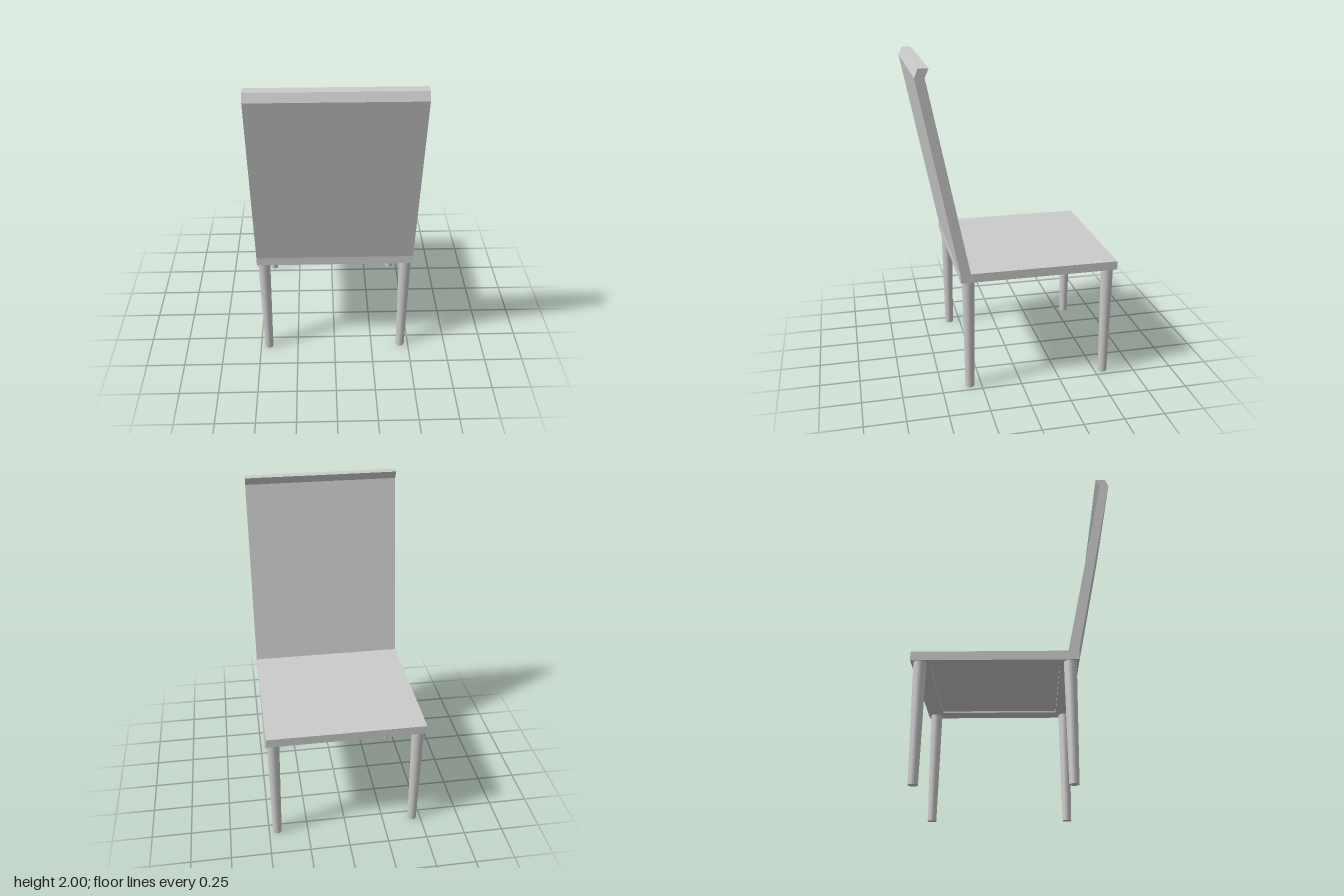
import * as THREE from 'three';

const WIDTH = 0.98, FRONT = -0.605, REAR = 0.375;
const SEAT_BOTTOM = 0.725, RIM_TOP = 0.737, SEAT_TOP = 0.78;

export function createModel() {
  const chair = new THREE.Group();
  chair.name = 'chair';
  const material = new THREE.MeshStandardMaterial({ color: 0xcccccc });
  const add = (name, geometry) => {
    const mesh = new THREE.Mesh(geometry, material);
    mesh.name = name;
    chair.add(mesh);
    return mesh;
  };
  const polygon = (points) => new THREE.Shape(points.map(([a, b]) => new THREE.Vector2(a, b)));

  // Seat and leaning back in one side profile (z, y), extruded across the width
  const profile = polygon([
    [FRONT, RIM_TOP], [REAR, RIM_TOP], [REAR, SEAT_TOP],
    [0.605, 1.95], [0.584, 2], [0.524, 2], [0.548, 1.95],
    [0.313, SEAT_TOP], [FRONT, SEAT_TOP],
  ]);
  const shell = new THREE.ExtrudeGeometry(profile, { depth: WIDTH, bevelEnabled: false });
  shell.translate(0, 0, -WIDTH / 2).rotateY(-Math.PI / 2);
  add('seatAndBack', shell);

  // Rim under the seat, leaving a shallow recess in the middle
  const w = WIDTH / 2;
  const rim = polygon([[-w, FRONT], [w, FRONT], [w, REAR], [-w, REAR]]);
  rim.holes.push(polygon([[-0.385, -0.5], [-0.385, 0.265], [0.385, 0.265], [0.385, -0.5]]));
  const rimGeometry = new THREE.ExtrudeGeometry(rim, { depth: RIM_TOP - SEAT_BOTTOM, bevelEnabled: false });
  rimGeometry.rotateX(Math.PI / 2).translate(0, RIM_TOP, 0);
  add('seatRim', rimGeometry);

  // Four round tapered legs
  const leg = new THREE.CylinderGeometry(0.038, 0.028, SEAT_BOTTOM, 32);
  for (const [side, x] of [['left', 0.447], ['right', -0.447]]) {
    for (const [end, z] of [['Rear', 0.324], ['Front', -0.553]]) {
      add(`${side}${end}Leg`, leg).position.set(x, SEAT_BOTTOM / 2, z);
    }
  }
  return chair;
}
